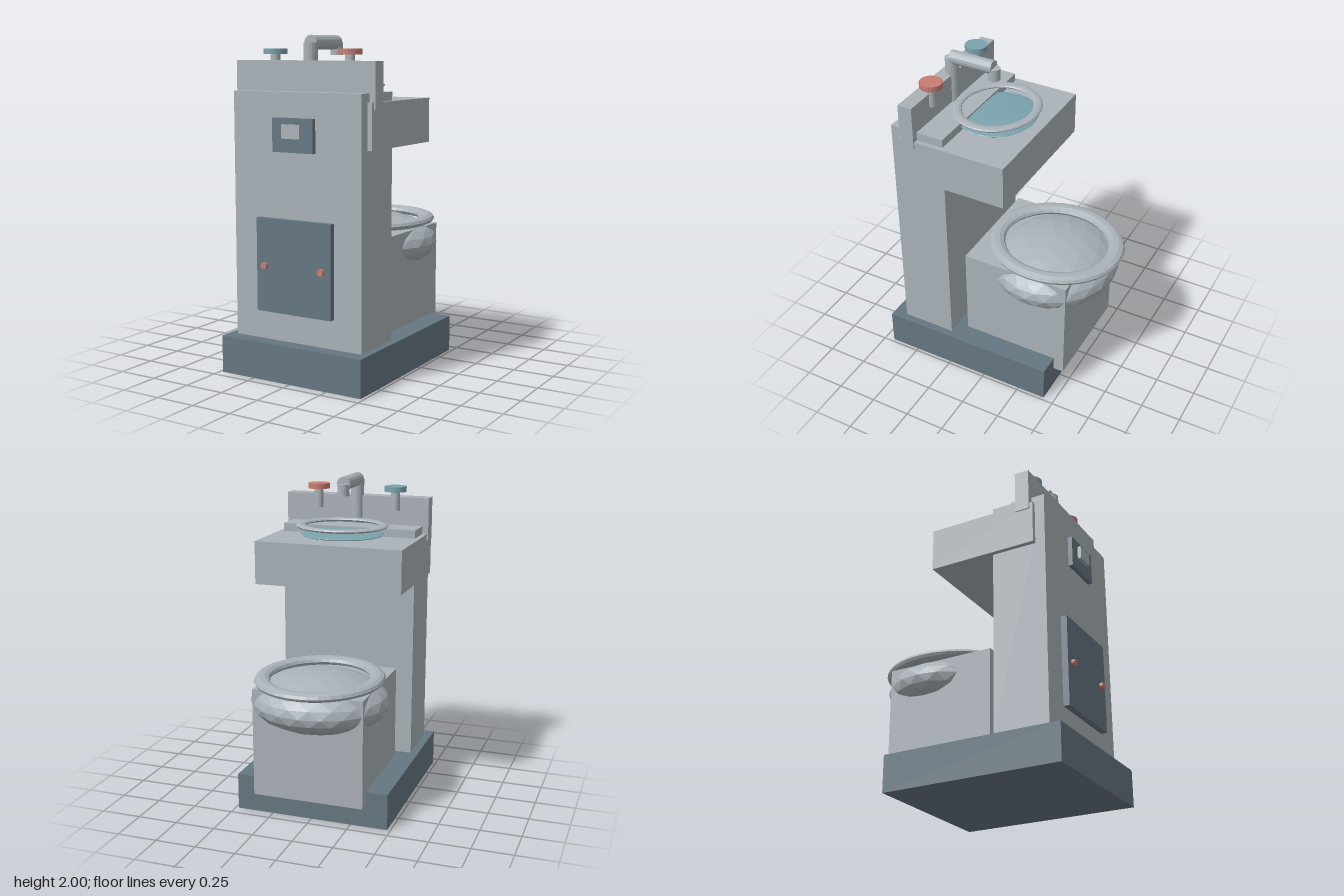
import * as THREE from 'three';

const mat = (name, color, flatShading = false) => {
  const m = new THREE.MeshStandardMaterial({ color, flatShading });
  m.name = name;
  return m;
};

export function createModel() {
  const model = new THREE.Group();
  model.name = 'sinkToiletUnit';

  const steel = mat('steel', 0xaab2b8, true);
  const slate = mat('slate', 0x667781, true);
  const blue = mat('blue', 0x7ca3ae, true);
  const red = mat('red', 0xc77d72, true);

  const add = (name, geometry, material, x = 0, y = 0, z = 0) => {
    const mesh = new THREE.Mesh(geometry, material);
    mesh.name = name;
    mesh.position.set(x, y, z);
    model.add(mesh);
    return mesh;
  };

  // Box from its extents, symmetric in x
  const box = (name, material, halfX, y0, y1, z0, z1) =>
    add(name, new THREE.BoxGeometry(halfX * 2, y1 - y0, z1 - z0), material,
      0, (y0 + y1) / 2, (z0 + z1) / 2);

  // Upright cylinder between two heights
  const post = (name, material, r, x, y0, y1, z, sides = 16) =>
    add(name, new THREE.CylinderGeometry(r, r, y1 - y0, sides), material, x, (y0 + y1) / 2, z);

  // Cylinder lying along z
  const rod = (name, material, r, x, y, z0, z1, sides = 16) =>
    add(name, new THREE.CylinderGeometry(r, r, z1 - z0, sides).rotateX(Math.PI / 2), material,
      x, y, (z0 + z1) / 2);

  // Faceted ellipsoid with a vertex at the top
  const ellipsoid = (name, material, rx, ry, rz, y, z) =>
    add(name, new THREE.IcosahedronGeometry(1, 3)
      .rotateZ(-Math.atan(2 / (1 + Math.sqrt(5)))).scale(rx, ry, rz), material, 0, y, z);

  // Flattened oval ring
  const ring = (name, rx, rz, tube, halfY, y, z) =>
    add(name, new THREE.TorusGeometry(rx, tube, 10, 36).rotateX(Math.PI / 2)
      .scale(1, halfY / tube, rz / rx), steel, 0, y, z);

  // Body
  box('base', slate, 0.48, 0, 0.225, -0.43, 0.69);
  box('column', steel, 0.432, 0.225, 1.68, 0.26, 0.602);
  box('sinkBlock', steel, 0.462, 1.365, 1.63, -0.145, 0.54);
  box('backsplash', steel, 0.47, 1.59, 1.855, 0.43, 0.52);

  // Toilet
  box('toiletBlock', steel, 0.345, 0.14, 0.81, -0.495, 0.19);
  ellipsoid('toiletBowl', steel, 0.425, 0.18, 0.39, 0.71, -0.26);
  ring('toiletSeat', 0.343, 0.375, 0.048, 0.028, 0.849, -0.262);

  // Basin
  ellipsoid('basinWater', blue, 0.26, 0.018, 0.238, 1.655, 0.143);
  ring('basinRim', 0.257, 0.231, 0.03, 0.012, 1.707, 0.143);

  // Faucet
  post('faucetPost', steel, 0.042, 0, 1.68, 1.955, 0.445);
  rod('faucetSpout', steel, 0.042, 0, 1.958, 0.165, 0.445);
  post('faucetNozzle', steel, 0.037, 0, 1.885, 1.955, 0.163);

  // Taps
  for (const [side, material] of [[-1, blue], [1, red]]) {
    const label = side < 0 ? 'cold' : 'hot';
    post(label + 'TapStem', steel, 0.029, side * 0.255, 1.77, 1.895, 0.43);
    post(label + 'TapKnob', material, 0.069, side * 0.255, 1.89, 1.923, 0.43, 20);
  }

  // Front panels
  box('accessPanel', slate, 0.253, 0.4, 0.952, 0.6, 0.64);
  box('dispenserPlate', slate, 0.137, 1.34, 1.535, 0.61, 0.638);
  box('dispenserButton', steel, 0.061, 1.42, 1.5, 0.63, 0.66);
  for (const side of [-1, 1]) rod('panelBolt', red, 0.02, side * 0.194, 0.675, 0.63, 0.66, 12);

  return model;
}
